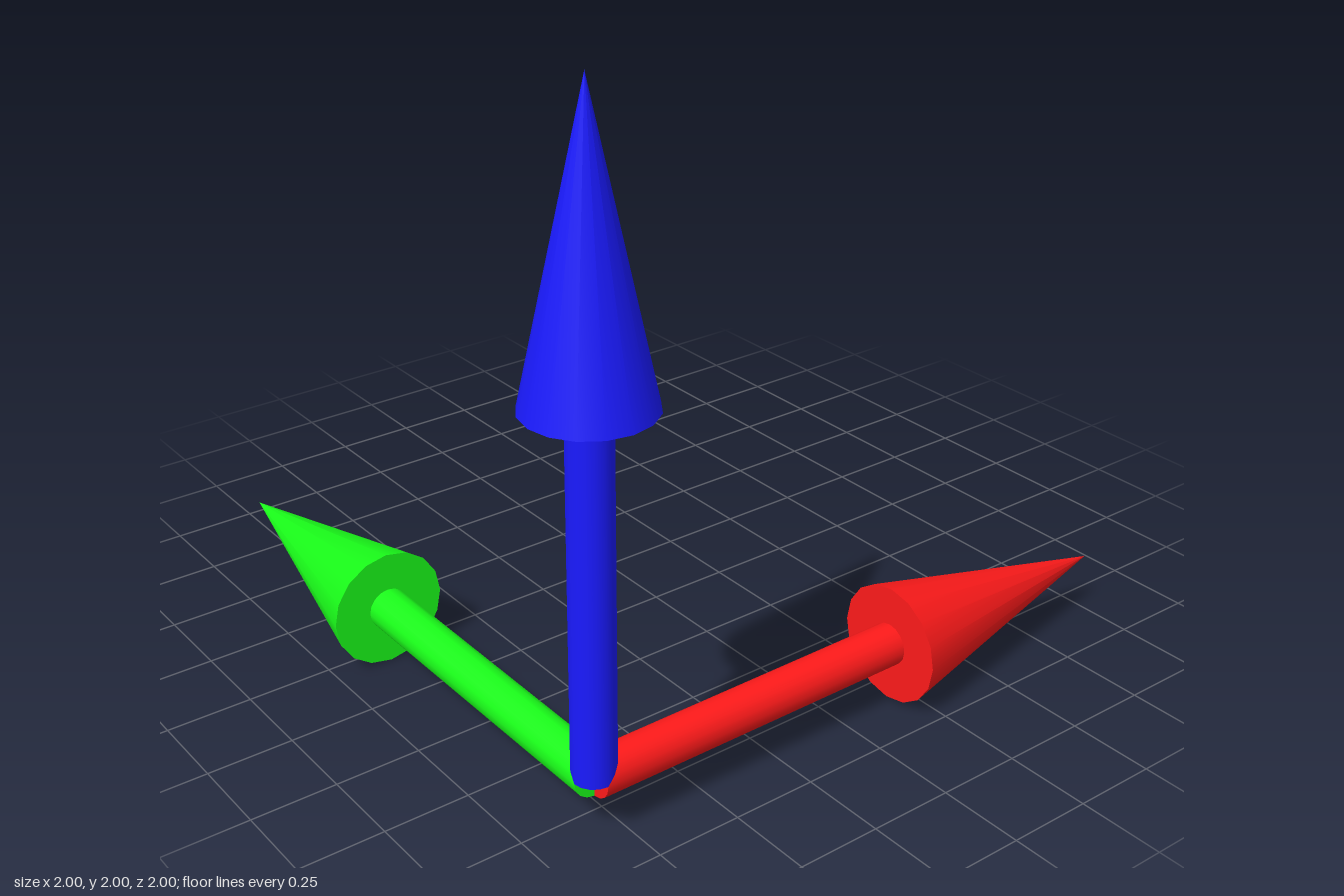
import * as THREE from 'three';

const SIDES = 16;
const SHAFT_RADIUS = 0.061, HEAD_RADIUS = 0.173;
const SHAFT_LENGTH = 1.015, TOTAL_LENGTH = 1.827;

// An arrow that starts at the origin and points along +y
function createArrow(name, color) {
  const arrow = new THREE.Group();
  arrow.name = name;
  const material = new THREE.MeshStandardMaterial({ color });

  const shaft = new THREE.Mesh(
    new THREE.CylinderGeometry(SHAFT_RADIUS, SHAFT_RADIUS, SHAFT_LENGTH, SIDES), material);
  shaft.name = name + 'Shaft';
  shaft.position.y = SHAFT_LENGTH / 2;

  const headLength = TOTAL_LENGTH - SHAFT_LENGTH;
  const head = new THREE.Mesh(
    new THREE.ConeGeometry(HEAD_RADIUS, headLength, SIDES), material);
  head.name = name + 'Head';
  head.position.y = SHAFT_LENGTH + headLength / 2;

  arrow.add(shaft, head);
  return arrow;
}

export function createModel() {
  const model = new THREE.Group();
  model.name = 'axisArrows';

  // Three arrows share one corner: up, left and back
  const upArrow = createArrow('upArrow', 0x1a1aff);
  const sideArrow = createArrow('sideArrow', 0xff1a1a);
  sideArrow.rotation.z = -Math.PI / 2;
  const backArrow = createArrow('backArrow', 0x1aff1a);
  backArrow.rotation.x = -Math.PI / 2;

  for (const arrow of [upArrow, sideArrow, backArrow]) {
    arrow.position.set(-1 + HEAD_RADIUS, HEAD_RADIUS, 1 - HEAD_RADIUS);
    model.add(arrow);
  }
  return model;
}
